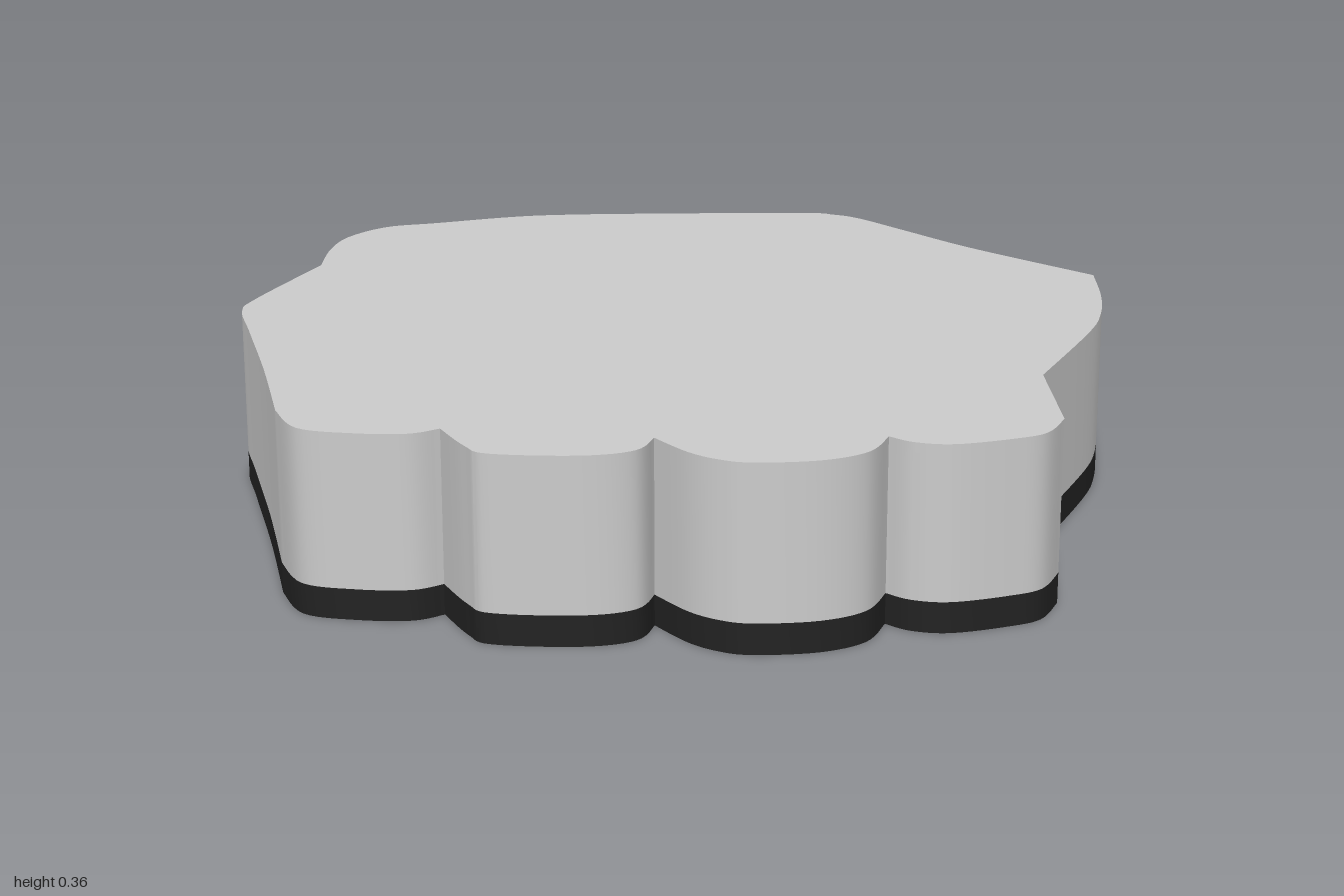
import * as THREE from 'three';
import { toCreasedNormals } from 'three/addons/utils/BufferGeometryUtils.js';

const TOP = 0.36, RELIEF = 0.06;
const grey = new THREE.MeshStandardMaterial({ color: 0xcccccc });
const dark = new THREE.MeshStandardMaterial({ color: 0x222222 });

// Plan points are [x, z]; shapes use y = -z so they lie flat after rotation.
const toVec = ([x, z]) => new THREE.Vector2(x, -z);

// Smooth curves through each run, with a sharp corner where runs meet.
function smoothRuns(runs) {
  const out = [];
  for (const run of runs) {
    const pts = run.map(toVec);
    const n = pts.length > 2 ? (pts.length - 1) * 6 : 1;
    out.push(...new THREE.SplineCurve(pts).getPoints(n).slice(0, -1));
  }
  return out;
}

// Loops are wound one way round the solid and the other way round its holes.
function wind(points, clockwise) {
  return THREE.ShapeUtils.isClockWise(points) === clockwise ? points : [...points].reverse();
}

function slab(name, points, holes, y0, y1, material) {
  const shape = new THREE.Shape(wind(points, false));
  for (const h of holes) shape.holes.push(new THREE.Path(wind(h, true)));
  const geo = new THREE.ExtrudeGeometry(shape, { depth: y1 - y0, bevelEnabled: false });
  geo.rotateX(-Math.PI / 2).translate(0, y0, 0);
  const mesh = new THREE.Mesh(toCreasedNormals(geo, 0.35), material);
  mesh.name = name;
  return mesh;
}

// Rounded finger pad: an egg running from the knuckle to the fingertip.
function fingerPad([bx, bz], [tx, tz], width) {
  const cx = (bx + tx) / 2, cz = (bz + tz) / 2;
  const dx = (tx - bx) / 2, dz = (tz - bz) / 2;
  const len = Math.hypot(dx, dz), pts = [];
  for (let i = 0; i < 40; i++) {
    const a = (i / 40) * Math.PI * 2;
    const c = Math.sign(Math.cos(a)) * Math.abs(Math.cos(a)) ** 0.8;
    const s = Math.sign(Math.sin(a)) * Math.abs(Math.sin(a)) ** 0.8 * (width / 2) * (1 + 0.12 * c);
    pts.push(toVec([cx + dx * c - (dz / len) * s, cz + dz * c + (dx / len) * s]));
  }
  return pts;
}

export function createModel() {
  const group = new THREE.Group();
  group.name = 'handStamp';

  // Hand outline, run by run: little finger side, wrist, thumb side, fingertips
  const outline = smoothRuns([
    [[-0.54, 0.73], [-0.6, 0.755], [-0.7, 0.74], [-0.8, 0.695], [-0.84, 0.58]],
    [[-0.84, 0.58], [-0.87, 0.3], [-0.91, 0], [-0.93, -0.16], [-0.905, -0.26], [-0.77, -0.55]],
    [[-0.77, -0.55], [-0.75, -0.7], [-0.71, -0.82], [-0.62, -0.915], [-0.5, -0.945],
      [-0.32, -0.99], [-0.2, -1], [0, -0.99], [0.38, -0.955], [0.46, -0.925], [0.515, -0.875],
      [0.6, -0.735], [0.72, -0.54], [0.93, -0.26]],
    [[0.93, -0.26], [0.9, -0.08], [0.86, 0.07], [0.8, 0.21], [0.63, 0.51]],
    [[0.63, 0.51], [0.6, 0.8]],
    [[0.6, 0.8], [0.55, 0.88], [0.48, 0.91], [0.37, 0.93], [0.3, 0.91], [0.26, 0.87]],
    [[0.26, 0.87], [0.21, 0.955], [0.12, 0.995], [0, 0.995], [-0.06, 0.97], [-0.11, 0.92], [-0.16, 0.83]],
    [[-0.16, 0.83], [-0.2, 0.9], [-0.3, 0.92], [-0.46, 0.89], [-0.5, 0.84], [-0.54, 0.73]],
  ]);

  // Palm recess: inset from the outline, closed by the knuckle line
  const palm = smoothRuns([
    [[-0.8, 0.3], [-0.83, 0.05], [-0.85, -0.17], [-0.82, -0.27], [-0.69, -0.55], [-0.66, -0.72],
      [-0.6, -0.82], [-0.48, -0.87], [-0.2, -0.92], [0.1, -0.905], [0.38, -0.875], [0.46, -0.82],
      [0.65, -0.5], [0.84, -0.24]],
    [[0.84, -0.24], [0.82, -0.09], [0.73, 0.18], [0.64, 0.38], [0.58, 0.47], [0.5, 0.5]],
    [[0.5, 0.5], [0.3, 0.46], [0.1, 0.43], [-0.08, 0.38]],
    [[-0.08, 0.38], [-0.02, 0.24]],
    [[-0.02, 0.24], [-0.17, 0.18]],
    [[-0.17, 0.18], [-0.36, 0.13], [-0.55, 0.1], [-0.72, 0.07]],
    [[-0.72, 0.07], [-0.77, 0.18], [-0.8, 0.3]],
  ]);

  // Four finger recesses, knuckle end and tip end
  const fingers = [
    fingerPad([0.29, 0.53], [0.47, 0.86], 0.24),
    fingerPad([-0.1, 0.48], [0.09, 0.93], 0.23),
    fingerPad([-0.45, 0.4], [-0.31, 0.86], 0.22),
    fingerPad([-0.67, 0.18], [-0.7, 0.69], 0.19),
  ];

  // Raised creases crossing the palm
  const thumbCrease = smoothRuns([
    [[0.378, -0.066], [0.19, -0.09], [0.08, -0.145], [-0.036, -0.278], [-0.134, -0.481]],
    [[-0.134, -0.481], [-0.15, -0.46]],
    [[-0.15, -0.46], [-0.09, -0.25], [0.03, -0.1], [0.18, -0.045], [0.36, -0.04]],
    [[0.36, -0.04], [0.378, -0.066]],
  ]);
  const palmCrease = smoothRuns([
    [[0.376, 0.1], [0.264, 0.006], [0.097, -0.02], [-0.046, -0.04], [-0.19, 0.02],
      [-0.37, 0.07], [-0.52, 0.02], [-0.685, -0.11]],
    [[-0.685, -0.11], [-0.71, -0.06]],
    [[-0.71, -0.06], [-0.58, 0.06], [-0.45, 0.14], [-0.3, 0.18], [-0.2, 0.17]],
    [[-0.2, 0.17], [-0.13, 0.08], [0.05, 0.05], [0.22, 0.07], [0.35, 0.13]],
    [[0.35, 0.13], [0.376, 0.1]],
  ]);

  group.add(
    slab('body', outline, [], RELIEF, TOP, grey),
    slab('reliefBorder', outline, [palm, ...fingers], 0, RELIEF, dark),
    slab('thumbCrease', thumbCrease, [], 0, RELIEF, dark),
    slab('palmCrease', palmCrease, [], 0, RELIEF, dark),
  );
  return group;
}
